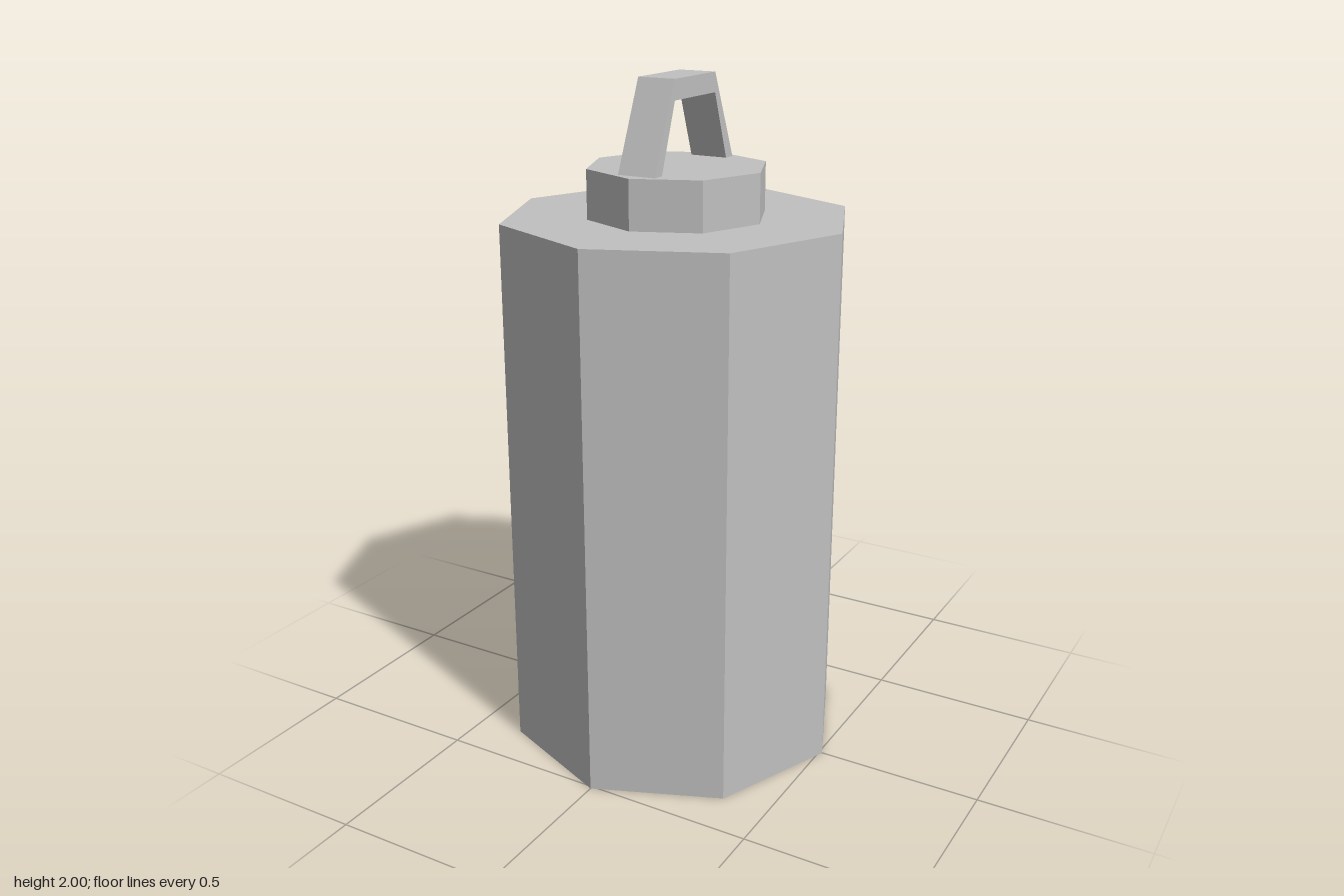
import * as THREE from 'three';

export function createModel() {
  const group = new THREE.Group();
  const grey = new THREE.MeshStandardMaterial({ color: 0xc0c0c0, flatShading: true });
  grey.name = 'grey metal';

  const add = (name, geometry, y = 0) => {
    const mesh = new THREE.Mesh(geometry, grey);
    mesh.name = name;
    mesh.position.y = y;
    group.add(mesh);
  };

  // Octagonal prism standing between two heights, corners on the axes
  const prism = (name, radius, y0, y1) =>
    add(name, new THREE.CylinderGeometry(radius, radius, y1 - y0, 8), (y0 + y1) / 2);

  prism('body', 0.51, 0, 1.608);
  prism('cap', 0.262, 1.608, 1.75);

  // Carrying loop: a bent strap profile (z, y) given a width along x
  const width = 0.115;
  const profile = new THREE.Shape([
    [0.222, 1.75], [0.113, 2], [-0.113, 2], [-0.222, 1.75],
    [-0.183, 1.75], [-0.113, 1.943], [0.113, 1.943], [0.183, 1.75],
  ].map(([z, y]) => new THREE.Vector2(z, y)));
  const handle = new THREE.ExtrudeGeometry(profile, { depth: width, bevelEnabled: false });
  handle.translate(0, 0, -width / 2);
  handle.rotateY(-Math.PI / 2);
  add('handle', handle);

  return group;
}
